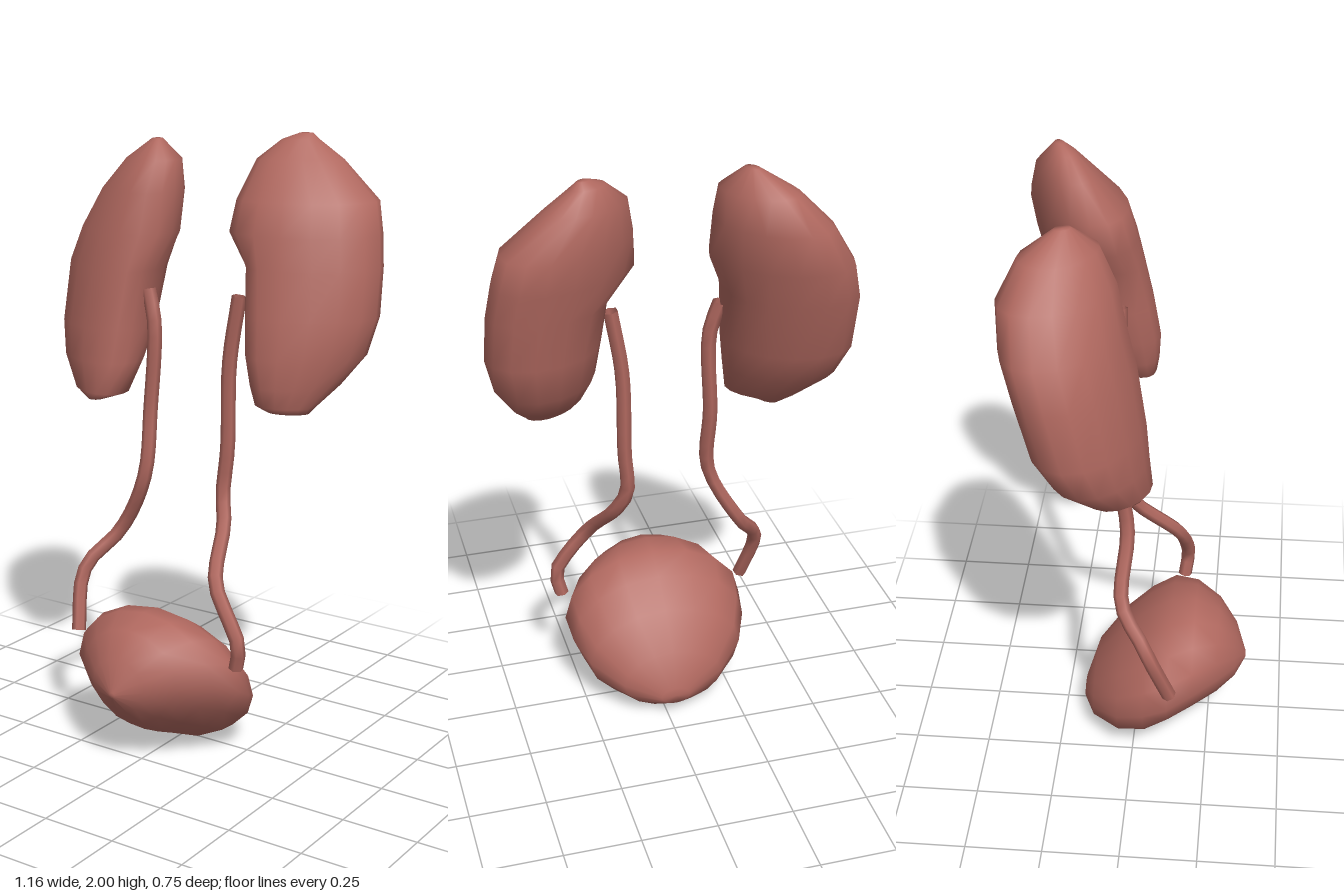
import * as THREE from 'three';

const material = new THREE.MeshStandardMaterial({ color: 0xb0685f, roughness: 0.8, side: THREE.DoubleSide });
const SIDES = 16;

// Skin rings (each counter-clockwise about the direction of travel), closed with end points
function loft(rings) {
  const n = rings[0].length, pos = [], idx = [];
  rings.forEach(r => r.forEach(p => pos.push(...p)));
  const id = (i, j) => i * n + (j % n);
  for (let i = 0; i < rings.length - 1; i++) for (let j = 0; j < n; j++) {
    const a = id(i, j), b = id(i, j + 1), c = id(i + 1, j + 1), d = id(i + 1, j);
    idx.push(a, b, c, a, c, d);
  }
  [0, rings.length - 1].forEach((i, end) => {
    const mid = [0, 1, 2].map(k => rings[i].reduce((s, p) => s + p[k], 0) / n);
    const m = pos.length / 3;
    pos.push(...mid);
    for (let j = 0; j < n; j++) {
      if (end) idx.push(m, id(i, j), id(i, j + 1));
      else idx.push(m, id(i, j + 1), id(i, j));
    }
  });
  const g = new THREE.BufferGeometry();
  g.setAttribute('position', new THREE.Float32BufferAttribute(pos, 3));
  g.setIndex(idx);
  g.computeVertexNormals();
  return g;
}

function part(name, geometry) {
  const mesh = new THREE.Mesh(geometry, material);
  mesh.name = name;
  return mesh;
}

// Kidney: skewed ellipses stacked upward, dented on the inner side,
// rows are [y, inner x, outer x, back z, front z, dent]
function kidney(name, side, rows) {
  const skew = 1.22;
  return part(name, loft(rows.map(([y, x0, x1, z0, z1, dent = 0]) =>
    Array.from({ length: SIDES }, (_, j) => {
      const t = side * j / SIDES * Math.PI * 2;
      const inner = Math.max(0, -Math.cos(t)) ** 2;
      return [
        side * ((x0 + x1) / 2 + (x1 - x0) / 2 * Math.cos(t) + dent * inner),
        y,
        (z0 + z1) / 2 - (z1 - z0) / 2 * Math.cos(t - skew),
      ];
    }))));
}

// Bladder: ellipses stacked from back to front, pinched below,
// rows are [z, low y, high y, half width, pinch]
function bladder(rows) {
  return part('bladder', loft(rows.map(([z, y0, y1, w, pinch = 0]) =>
    Array.from({ length: SIDES }, (_, j) => {
      const t = j / SIDES * Math.PI * 2;
      const s = Math.sin(t);
      return [
        -0.025 + w * Math.cos(t) * (1 - pinch * Math.max(0, -s)),
        (y0 + y1) / 2 + (y1 - y0) / 2 * s,
        z,
      ];
    }))));
}

// Ureter: thin faceted tube through the given points
function ureter(name, points) {
  const curve = new THREE.CatmullRomCurve3(points.map(p => new THREE.Vector3(...p)), false, 'centripetal');
  return part(name, new THREE.TubeGeometry(curve, 24, 0.024, 6));
}

export function createModel() {
  const group = new THREE.Group();
  group.name = 'urinarySystem';

  group.add(kidney('leftKidney', 1, [
    [1.16, 0.3, 0.43, -0.08, 0.01],
    [1.18, 0.265, 0.445, -0.11, 0.035],
    [1.24, 0.23, 0.49, -0.2, 0.045, 0.01],
    [1.33, 0.185, 0.545, -0.29, 0.05, 0.03],
    [1.45, 0.15, 0.575, -0.315, 0.03, 0.05],
    [1.6, 0.12, 0.57, -0.34, 0.0, 0.065],
    [1.7, 0.1, 0.555, -0.36, -0.02],
    [1.8, 0.11, 0.53, -0.375, -0.05],
    [1.92, 0.14, 0.4, -0.345, -0.15],
    [1.98, 0.21, 0.32, -0.3, -0.21],
    [2.0, 0.26, 0.3, -0.28, -0.25],
  ]));
  group.add(kidney('rightKidney', -1, [
    [1.12, 0.32, 0.4, -0.09, 0.04],
    [1.15, 0.235, 0.46, -0.12, 0.07],
    [1.25, 0.195, 0.55, -0.22, 0.06, 0.02],
    [1.36, 0.16, 0.585, -0.28, 0.05, 0.04],
    [1.55, 0.13, 0.585, -0.33, 0.02, 0.055],
    [1.67, 0.135, 0.55, -0.365, -0.01],
    [1.8, 0.14, 0.47, -0.375, -0.04],
    [1.9, 0.15, 0.37, -0.32, -0.09],
    [1.965, 0.22, 0.26, -0.22, -0.17],
  ]));

  group.add(ureter('leftUreter', [
    [0.16, 1.5, -0.07], [0.125, 1.28, -0.07], [0.12, 1, -0.07], [0.11, 0.85, -0.06],
    [0.14, 0.76, -0.02], [0.2, 0.61, 0.12], [0.275, 0.5, 0.15], [0.31, 0.43, 0.155], [0.295, 0.35, 0.145],
  ]));
  group.add(ureter('rightUreter', [
    [-0.19, 1.49, -0.07], [-0.16, 1.38, -0.06], [-0.17, 1.1, -0.05], [-0.175, 0.87, -0.02],
    [-0.285, 0.66, -0.03], [-0.36, 0.56, 0.04], [-0.375, 0.5, 0.07], [-0.345, 0.335, 0.13],
  ]));

  group.add(bladder([
    [-0.18, 0.05, 0.11, 0.05],
    [-0.14, 0.02, 0.23, 0.17],
    [-0.05, 0.0, 0.345, 0.265],
    [0.04, 0.005, 0.43, 0.305, 0.1],
    [0.12, 0.04, 0.48, 0.315, 0.25],
    [0.2, 0.08, 0.488, 0.265, 0.3],
    [0.28, 0.13, 0.45, 0.185, 0.25],
    [0.34, 0.19, 0.37, 0.1, 0.1],
    [0.375, 0.25, 0.27, 0.01],
  ]));

  return group;
}
